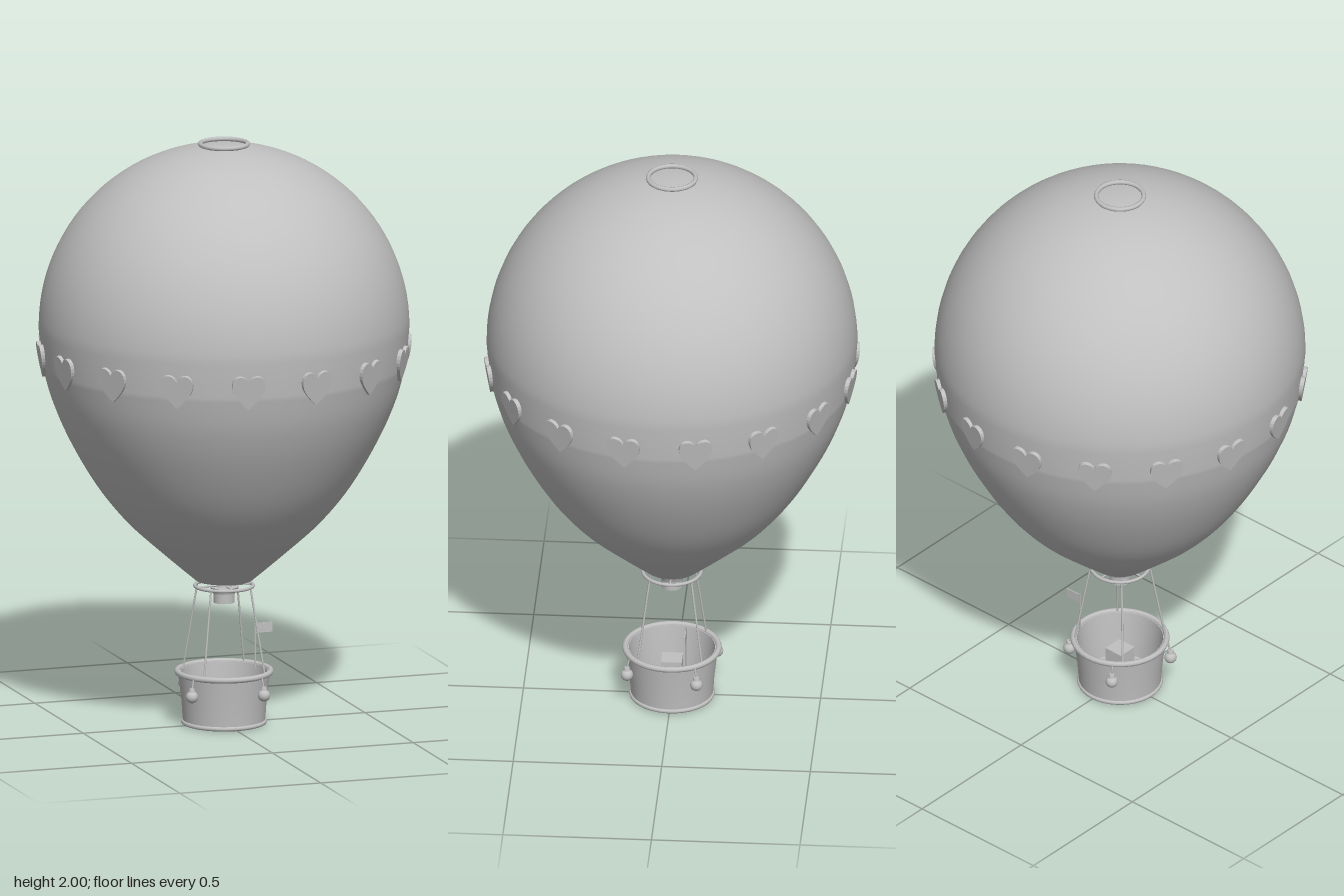
import * as THREE from 'three';

export function createModel() {
  const model = new THREE.Group();
  const grey = new THREE.MeshStandardMaterial({ color: 0xc0c0c0, side: THREE.DoubleSide });
  grey.name = 'plain grey';

  const add = (name, geometry, x = 0, y = 0, z = 0) => {
    const mesh = new THREE.Mesh(geometry, grey);
    mesh.name = name;
    mesh.position.set(x, y, z);
    model.add(mesh);
    return mesh;
  };
  const ring = (name, radius, tube, y) => {
    const mesh = add(name, new THREE.TorusGeometry(radius, tube, 8, 40), 0, y, 0);
    mesh.rotation.x = Math.PI / 2;
    return mesh;
  };
  const rod = (name, from, to, radius) => {
    const a = new THREE.Vector3(...from), b = new THREE.Vector3(...to);
    return add(name, new THREE.TubeGeometry(new THREE.LineCurve3(a, b), 1, radius, 8));
  };

  // Envelope: gently flared lower cone running into a round crown
  const profile = new THREE.SplineCurve([
    [0.095, 0.495], [0.205, 0.59], [0.33, 0.705], [0.43, 0.83],
    [0.52, 0.985], [0.58, 1.125], [0.613, 1.25],
  ].map(p => new THREE.Vector2(...p))).getPoints(30);
  for (let i = 0; i <= 28; i++) {
    const a = (i / 28) * Math.PI / 2;
    profile.push(new THREE.Vector2(0.623 * Math.cos(a), 1.365 + 0.623 * Math.sin(a)));
  }
  add('envelope', new THREE.LatheGeometry(profile, 64));
  ring('crownRing', 0.08, 0.008, 1.992);

  // Belt of sixteen raised hearts
  const heart = new THREE.Shape();
  heart.moveTo(0, -0.06);
  heart.bezierCurveTo(-0.025, -0.035, -0.058, -0.01, -0.056, 0.027);
  heart.bezierCurveTo(-0.054, 0.065, -0.012, 0.065, 0, 0.036);
  heart.bezierCurveTo(0.012, 0.065, 0.054, 0.065, 0.056, 0.027);
  heart.bezierCurveTo(0.058, -0.01, 0.025, -0.035, 0, -0.06);
  const heartGeometry = new THREE.ExtrudeGeometry(heart, { depth: 0.014, bevelEnabled: false, curveSegments: 8 });
  heartGeometry.translate(0, 0, -0.006);
  for (let i = 0; i < 16; i++) {
    const a = (i + 0.5) * Math.PI / 8;
    const mesh = add('heart', heartGeometry, 0.616 * Math.sin(a), 1.27, 0.616 * Math.cos(a));
    mesh.rotation.set(0.14, a, 0, 'YXZ');
  }

  // Load ring with cross bars, and the burner hanging in it
  ring('loadRing', 0.098, 0.006, 0.475);
  rod('crossBar', [-0.098, 0.475, 0], [0.098, 0.475, 0], 0.003);
  rod('crossBar', [0, 0.475, -0.098], [0, 0.475, 0.098], 0.003);
  add('burnerCan', new THREE.CylinderGeometry(0.036, 0.036, 0.045, 16), 0, 0.44, 0);
  add('burnerCollar', new THREE.CylinderGeometry(0.048, 0.04, 0.02, 16), 0, 0.461, 0);
  add('burnerNozzle', new THREE.CylinderGeometry(0.022, 0.028, 0.025, 16), 0, 0.482, 0);

  // Four suspension ropes
  for (const sx of [-1, 1]) for (const sz of [-1, 1]) {
    rod('rope', [0.07 * sx, 0.475, 0.07 * sz], [0.108 * sx, 0.18, 0.108 * sz], 0.0035);
  }

  // Basket: hollow tub with rims
  const tub = [[0, 0.004], [0.138, 0.004], [0.143, 0.08], [0.155, 0.182],
    [0.145, 0.182], [0.134, 0.08], [0.13, 0.02], [0, 0.02]];
  // Each stretch is its own lathe so the edges stay sharp
  [tub.slice(0, 2), tub.slice(1, 4), tub.slice(3, 5), tub.slice(4, 7), tub.slice(6)].forEach(part =>
    add('basket', new THREE.LatheGeometry(part.map(p => new THREE.Vector2(...p)), 40)));
  ring('basketRim', 0.157, 0.01, 0.181);
  ring('basketFoot', 0.137, 0.008, 0.01);
  add('fuelBox', new THREE.BoxGeometry(0.07, 0.12, 0.07), 0, 0.08, 0);

  // Four ballast bags around the tub
  for (let i = 0; i < 4; i++) {
    const a = 0.565 + i * Math.PI / 2;
    const x = Math.sin(a), z = Math.cos(a);
    add('ballastBag', new THREE.SphereGeometry(0.021, 16, 12), 0.172 * x, 0.12, 0.172 * z);
    add('bagNeck', new THREE.CylinderGeometry(0.009, 0.012, 0.012, 10), 0.172 * x, 0.143, 0.172 * z);
    rod('bagCord', [0.172 * x, 0.14, 0.172 * z], [0.163 * x, 0.18, 0.163 * z], 0.003);
  }

  // Flag on a short pole
  rod('flagPole', [0.13, 0.17, -0.056], [0.13, 0.33, -0.056], 0.003);
  add('flag', new THREE.BoxGeometry(0.06, 0.034, 0.003), 0.16, 0.308, -0.056);

  return model;
}
